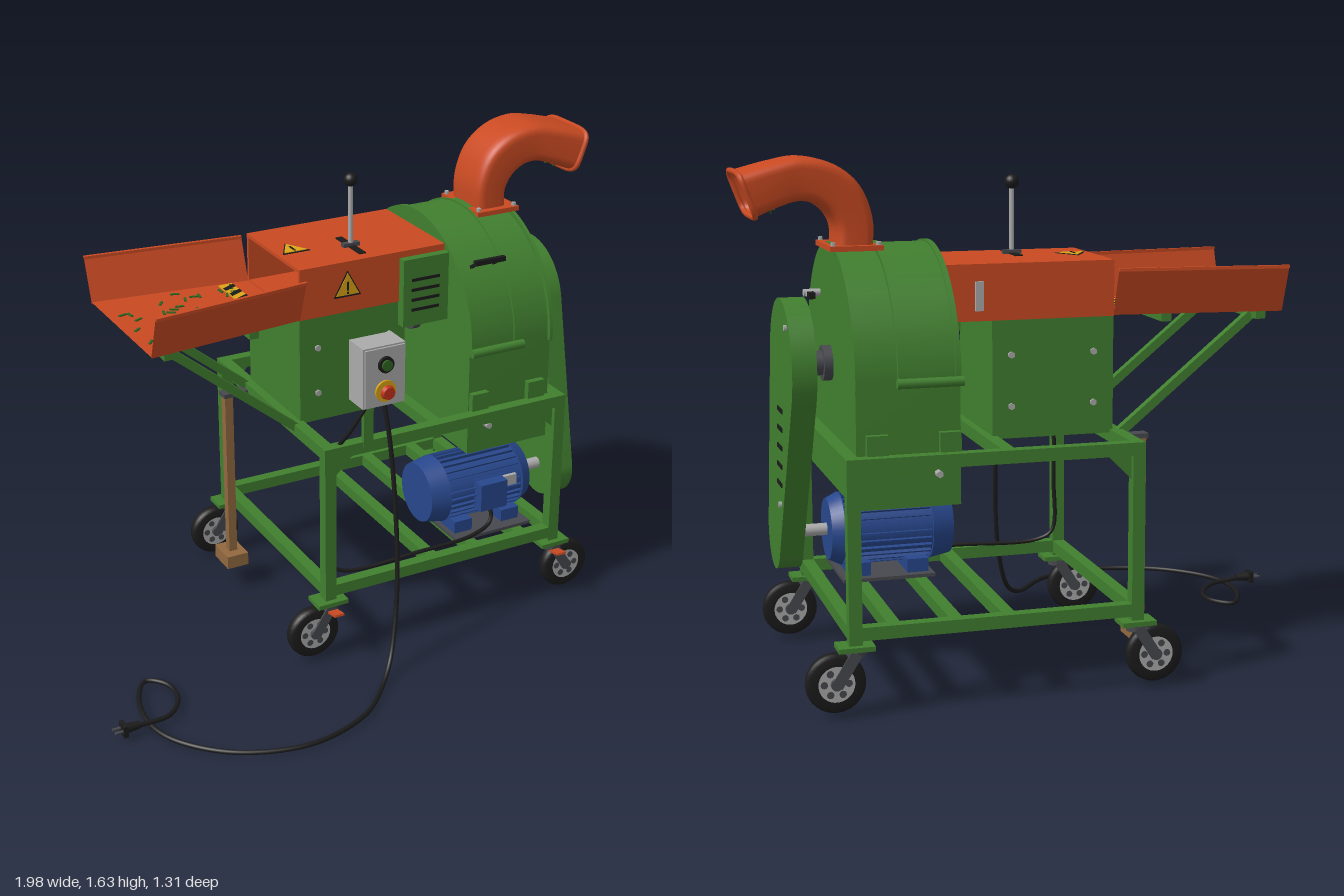
import * as THREE from 'three';
import { toCreasedNormals } from 'three/addons/utils/BufferGeometryUtils.js';

const paint = (name, color, side = THREE.FrontSide) => {
  const m = new THREE.MeshStandardMaterial({ color, side });
  m.name = name;
  return m;
};
const V = (x, y, z) => new THREE.Vector3(x, y, z);

export function createModel() {
  const green = paint('green', 0x417f2f), orange = paint('orange', 0xc94a22, THREE.DoubleSide);
  const blue = paint('blue', 0x27478c), black = paint('black', 0x1b1b1c), steel = paint('steel', 0xababab);
  const iron = paint('dark iron', 0x47494e), yellow = paint('yellow', 0xdba516), wood = paint('wood', 0x92693f);
  const red = paint('red', 0xc5301c), leaf = paint('chopped leaf', 0x2f6420);
  const root = new THREE.Group();
  root.name = 'chaffCutter';
  let seed = 7;
  const rand = (a, b) => { seed = (seed * 16807) % 2147483647; return a + (b - a) * seed / 2147483647; };

  const add = (name, geo, mat, x = 0, y = 0, z = 0, parent = root) => {
    const m = new THREE.Mesh(geo, mat);
    m.name = name;
    m.position.set(x, y, z);
    parent.add(m);
    return m;
  };
  // box given by its limits on each axis
  const box = (name, mat, x0, x1, y0, y1, z0, z1) => add(name, new THREE.BoxGeometry(x1 - x0, y1 - y0, z1 - z0), mat,
    (x0 + x1) / 2, (y0 + y1) / 2, (z0 + z1) / 2);
  const cyl = (name, mat, axis, r, len, x, y, z, r2 = r, n = 24) => {
    const g = new THREE.CylinderGeometry(r2, r, len, n);
    if (axis === 'x') g.rotateZ(-Math.PI / 2);
    if (axis === 'z') g.rotateX(Math.PI / 2);
    return add(name, g, mat, x, y, z);
  };
  const bar = (name, mat, a, b, w, h = w) => {
    const m = add(name, new THREE.BoxGeometry(w, h, a.distanceTo(b)), mat);
    m.position.copy(a).add(b).multiplyScalar(0.5);
    m.lookAt(b);
    return m;
  };
  // side profile drawn in (-z, y), extruded from x0 to x1
  const profile = (name, mat, shape, x0, x1) => {
    const g = new THREE.ExtrudeGeometry(shape, { depth: x1 - x0, bevelEnabled: false, curveSegments: 32 });
    return add(name, toCreasedNormals(g.rotateY(Math.PI / 2), 0.5), mat, x0);
  };
  const quad = (name, mat, a, b, c, d) => {
    const g = new THREE.BufferGeometry().setFromPoints([a, b, c, a, c, d]);
    g.computeVertexNormals();
    return add(name, g, mat);
  };
  const tube = (name, mat, pts, r, closed = false, n = 100) =>
    add(name, new THREE.TubeGeometry(new THREE.CatmullRomCurve3(pts, closed), n, r, 8, closed), mat);

  // Frame: legs, rails, gussets
  const Z = [0.19, -0.61], X = [-0.16, 0.72];
  for (const z of Z) {
    for (const x of X) {
      box('frameLeg', green, x - 0.02, x + 0.02, 0.22, 0.78, z - 0.02, z + 0.02);
      const s = x < 0 ? 1 : -1;
      const tri = new THREE.Shape([[0, 0], [0.075 * s, 0], [0, -0.075]].map(p => new THREE.Vector2(...p)));
      add('gusset', new THREE.ExtrudeGeometry(tri, { depth: 0.008, bevelEnabled: false }), green, x + 0.02 * s, 0.74, z - 0.004);
    }
    for (const y of [0.255, 0.76]) box('longRail', green, -0.16, 0.72, y - 0.02, y + 0.02, z - 0.02, z + 0.02);
  }
  for (const y of [0.255, 0.76]) for (const x of [...X, 0.245])
    box('crossRail', green, x - 0.02, x + 0.02, y - 0.02, y + 0.02, -0.61, 0.19);

  // Casters
  for (const z of Z) for (const x of X) {
    const s = x < 0 ? -1 : 1, wx = x + s * 0.06;
    box('casterPlate', green, x - 0.055, x + 0.055, 0.207, 0.222, z - 0.04, z + 0.04);
    cyl('casterSwivel', iron, 'y', 0.03, 0.022, x, 0.197, z);
    const tread = [[0.055, -0.022], [0.08, -0.022], [0.089, -0.014], [0.091, 0], [0.089, 0.014], [0.08, 0.022], [0.055, 0.022]];
    add('tyre', new THREE.LatheGeometry(tread.map(p => new THREE.Vector2(...p)), 36).rotateX(Math.PI / 2), black, wx, 0.11, z);
    cyl('wheelRim', steel, 'z', 0.057, 0.036, wx, 0.11, z);
    cyl('wheelHub', iron, 'z', 0.018, 0.06, wx, 0.11, z);
    for (let i = 0; i < 6; i++) {
      const a = i * Math.PI / 3;
      cyl('rimHole', iron, 'z', 0.011, 0.04, wx + 0.037 * Math.cos(a), 0.11 + 0.037 * Math.sin(a), z, 0.011, 12);
    }
    for (const k of [-1, 1]) bar('casterFork', iron, V(x, 0.2, z + k * 0.028), V(wx, 0.105, z + k * 0.028), 0.006, 0.035);
    if (z > 0) bar('brakePedal', orange, V(x, 0.185, z + 0.03), V(x, 0.195, z + 0.08), 0.035, 0.008);
  }

  // Cutter drum with raised cover band and rims
  const dShape = (r, low) => {
    const s = new THREE.Shape();
    s.moveTo(0.21 - r, low);
    s.lineTo(0.21 + r, low);
    s.lineTo(0.21 + r, 0.99);
    s.absarc(0.21, 0.99, r, 0, Math.PI);
    s.closePath();
    return s;
  };
  profile('drumHousing', green, dShape(0.368, 0.615), 0.385, 0.7);
  profile('drumCover', green, dShape(0.376, 0.985), 0.4, 0.56);
  for (const [a, b] of [[0.385, 0.402], [0.55, 0.575], [0.69, 0.702]]) profile('drumRim', green, dShape(0.382, 0.975), a, b);
  for (const z of [0.165, -0.585]) for (const x of [0.42, 0.64]) {
    box('drumFoot', green, x - 0.032, x + 0.032, 0.775, 0.84, z - 0.015, z + 0.015);
    cyl('drumBolt', steel, 'z', 0.011, 0.79, x + 0.035, 0.715, -0.21, 0.011, 6);
  }
  for (const z of [0.178, -0.598]) cyl('hingePin', green, 'x', 0.015, 0.2, 0.48, 0.99, z, 0.015, 12);
  for (const x of [0.435, 0.52]) bar('handlePost', black, V(x, 1.25, 0.07), V(x, 1.28, 0.115), 0.01);
  box('handleGrip', black, 0.42, 0.535, 1.272, 1.288, 0.107, 0.123);
  cyl('latchPin', steel, 'x', 0.012, 0.06, 0.725, 1.2, -0.06);
  box('latchArm', steel, 0.735, 0.75, 1.192, 1.208, -0.14, -0.03);
  box('latchGrip', black, 0.733, 0.752, 1.19, 1.21, -0.15, -0.11);

  // Main shaft and bearings
  cyl('mainShaft', steel, 'x', 0.022, 0.5, 0.55, 1, -0.21);
  for (const [x, s] of [[0.372, -1], [0.715, 1]]) {
    cyl('bearingFlange', iron, 'x', 0.055, 0.028, x, 1, -0.21);
    cyl('bearingCap', iron, 'x', 0.038, 0.03, x + s * 0.028, 1, -0.21);
  }

  // Belt guard: hull of two pulleys
  const r1 = 0.205, r2 = 0.115, phi = Math.atan2(-0.58, -0.21), al = Math.acos((r1 - r2) / Math.hypot(0.58, 0.21));
  const guard = new THREE.Shape();
  guard.absarc(0.21, 1, r1, phi + al, phi - al + 2 * Math.PI);
  guard.absarc(0, 0.42, r2, phi - al, phi + al);
  profile('beltGuard', green, guard, 0.78, 0.855);
  for (let i = 0; i < 5; i++) {
    const z = -0.18 + i * 0.009, y = 0.855 - i * 0.06;
    box('guardSlot', black, 0.853, 0.858, y - 0.007, y + 0.007, z - 0.042, z + 0.042);
  }
  for (const [y, z] of [[1.13, -0.33], [0.55, -0.16]]) cyl('guardBolt', steel, 'x', 0.01, 0.012, 0.858, y, z, 0.01, 6);

  // Motor
  cyl('motorBody', blue, 'x', 0.108, 0.31, 0.5, 0.42, 0, 0.108, 36);
  for (let i = 0; i < 28; i++) {
    const f = add('coolingFin', new THREE.BoxGeometry(0.28, 0.014, 0.006), blue);
    const a = i * Math.PI / 14;
    f.position.set(0.5, 0.42 + 0.112 * Math.cos(a), 0.112 * Math.sin(a));
    f.rotation.x = a;
  }
  cyl('fanCowl', blue, 'x', 0.105, 0.07, 0.32, 0.42, 0, 0.119, 36);
  cyl('motorEndBell', blue, 'x', 0.119, 0.04, 0.665, 0.42, 0, 0.1, 36);
  cyl('motorShaft', steel, 'x', 0.02, 0.12, 0.73, 0.42, 0);
  box('terminalBox', blue, 0.455, 0.56, 0.37, 0.47, 0.08, 0.15);
  box('ratingPlate', steel, 0.565, 0.615, 0.43, 0.468, 0.108, 0.122);
  add('liftingEye', new THREE.TorusGeometry(0.018, 0.005, 8, 20), blue, 0.505, 0.568, 0);
  for (const x of [0.41, 0.6]) box('motorFoot', blue, x - 0.035, x + 0.035, 0.285, 0.33, -0.12, 0.11);
  box('motorBasePlate', iron, 0.36, 0.66, 0.275, 0.286, -0.15, 0.15);
  for (const x of [0.41, 0.6]) box('motorRail', green, x - 0.02, x + 0.02, 0.235, 0.275, -0.6, 0.18);

  // Feed housing and side cover
  box('feedPedestal', green, -0.15, 0.24, 0.77, 1.14, -0.41, -0.025);
  for (const x of [-0.085, 0.18]) for (const y of [0.87, 1.03]) cyl('panelBolt', steel, 'z', 0.011, 0.4, x, y, -0.2175, 0.011, 6);
  box('feedTop', orange, -0.15, 0.39, 1.3, 1.312, -0.415, -0.02);
  box('feedFloor', orange, -0.15, 0.39, 1.138, 1.15, -0.415, -0.02);
  for (const z of [-0.415, -0.032]) box('feedSide', orange, -0.15, 0.39, 1.14, 1.305, z, z + 0.012);
  box('feedBaffle', black, 0.18, 0.19, 1.145, 1.305, -0.405, -0.03);
  box('sideCover', green, 0.215, 0.388, 1.055, 1.29, -0.03, 0.01);
  for (let i = 0; i < 4; i++) box('louvre', black, 0.245, 0.35, 1.107 + i * 0.035, 1.117 + i * 0.035, 0.008, 0.013);
  box('rearLatch', steel, 0.27, 0.295, 1.17, 1.26, -0.425, -0.414);

  // Feed lever
  box('leverSlot', black, 0.088, 0.112, 1.31, 1.316, -0.23, -0.06);
  box('leverPivot', iron, 0.07, 0.13, 1.312, 1.325, -0.155, -0.135);
  cyl('leverRod', steel, 'y', 0.008, 0.22, 0.1, 1.42, -0.145, 0.008, 12);
  add('leverKnob', new THREE.SphereGeometry(0.023, 20, 14), black, 0.1, 1.54, -0.145);

  // Warning triangles
  const sign = (x, y, z, tilt) => {
    const g = new THREE.Group();
    g.name = 'warningSign';
    const tri = s => new THREE.ExtrudeGeometry(new THREE.Shape([[-s, -0.8 * s], [s, -0.8 * s], [0, s]]
      .map(p => new THREE.Vector2(...p))), { depth: 0.002, bevelEnabled: false });
    add('signBorder', tri(0.05), black, 0, 0, 0, g);
    add('signFace', tri(0.042), yellow, 0, 0, 0.002, g);
    add('signMark', new THREE.BoxGeometry(0.007, 0.03, 0.002), black, 0, -0.003, 0.0045, g);
    add('signDot', new THREE.BoxGeometry(0.007, 0.007, 0.002), black, 0, -0.026, 0.0045, g);
    g.position.set(x, y, z);
    g.rotation.x = tilt;
    root.add(g);
  };
  sign(0.022, 1.232, -0.02, 0);
  sign(-0.085, 1.312, -0.21, -Math.PI / 2);

  // Flared feed tray, its hazard strip and supports
  const tp = (x, y, k) => V(x, y, -0.215 + k * ((x < -0.4 ? 0.255 : 0.195) + (y > 1.2 ? 0.05 : 0)));
  quad('trayFloor', orange, tp(-0.69, 1.145, 1), tp(-0.15, 1.145, 1), tp(-0.15, 1.145, -1), tp(-0.69, 1.145, -1));
  for (const k of [1, -1]) {
    quad('trayWall', orange, tp(-0.69, 1.14, k), tp(-0.15, 1.14, k), tp(-0.15, 1.285, k), tp(-0.69, 1.285, k));
    bar('trayLip', orange, tp(-0.69, 1.285, k), tp(-0.15, 1.285, k), 0.012, 0.01);
    bar('trayStrut', green, V(-0.61, 1.125, -0.215 + k * 0.19), V(-0.17, 0.765, -0.215 + k * 0.19), 0.028);
  }
  for (const [x, w] of [[-0.625, 0.24], [-0.32, 0.21]]) box('trayCrossbar', green, x - 0.016, x + 0.016, 1.115, 1.143, -0.215 - w, -0.215 + w);
  box('hazardStrip', yellow, -0.265, -0.217, 1.146, 1.151, -0.4, -0.025);
  for (let i = 0; i < 7; i++) {
    const z = -0.39 + i * 0.052;
    quad('hazardStripe', black, V(-0.265, 1.1525, z + 0.05), V(-0.217, 1.1525, z + 0.025), V(-0.217, 1.1525, z), V(-0.265, 1.1525, z + 0.025));
  }
  for (let i = 0; i < 42; i++) {
    const b = add('choppedLeaf', new THREE.BoxGeometry(0.03, 0.004, 0.008), leaf, rand(-0.65, -0.19), 1.15, rand(-0.4, -0.03));
    b.rotation.y = rand(0, Math.PI);
  }

  // Discharge chute lofted between inner and outer curves (third value is half width)
  const inner = new THREE.CatmullRomCurve3([[0.69, 1.35, 0.095], [0.69, 1.42, 0.095], [0.715, 1.465, 0.097], [0.76, 1.495, 0.1],
    [0.805, 1.5, 0.105], [0.86, 1.485, 0.115], [0.935, 1.455, 0.128]].map(p => V(...p)));
  const outer = new THREE.CatmullRomCurve3([[0.575, 1.35, 0], [0.575, 1.45, 0], [0.615, 1.55, 0], [0.69, 1.61, 0],
    [0.79, 1.633, 0], [0.87, 1.62, 0], [0.985, 1.59, 0]].map(p => V(...p)));
  const N = 36, M = 24, pos = [], idx = [], mouth = [];
  const pw = v => Math.sign(v) * Math.abs(v) ** 0.4;
  for (let i = 0; i <= M; i++) {
    const a = inner.getPoint(i / M), b = outer.getPoint(i / M);
    for (let j = 0; j < N; j++) {
      const t = j / N * 2 * Math.PI, k = (pw(Math.sin(t)) + 1) / 2;
      const p = V(a.x + (b.x - a.x) * k, a.y + (b.y - a.y) * k, -0.21 + a.z * pw(Math.cos(t)));
      pos.push(p.x, p.y, p.z);
      if (i === M) mouth.push(p);
      const q = i * N + j, r = i * N + (j + 1) % N;
      if (i < M) idx.push(q, q + N, r, r, q + N, r + N);
    }
  }
  const chute = new THREE.BufferGeometry();
  chute.setAttribute('position', new THREE.Float32BufferAttribute(pos, 3));
  chute.setIndex(idx);
  chute.computeVertexNormals();
  add('dischargeChute', chute, orange);
  tube('chuteLip', orange, mouth, 0.009, true, 120);
  box('chuteFlange', orange, 0.555, 0.718, 1.352, 1.368, -0.33, -0.09);
  for (const x of [0.567, 0.706]) for (const z of [-0.315, -0.105]) cyl('flangeBolt', steel, 'y', 0.008, 0.014, x, 1.372, z, 0.008, 6);
  for (let i = 0; i < 60; i++) {
    const k = rand(0.12, 0.85), b = add('chuteLeaf', new THREE.BoxGeometry(0.005, 0.007, 0.028), leaf,
      0.895 + 0.05 * k + rand(-0.04, 0.02), 1.462 + 0.125 * k, rand(-0.31, -0.11));
    b.rotation.set(rand(0, 3), 0, rand(-0.5, 0.5));
  }

  // Switch box on its post
  box('switchPost', green, -0.04, -0.005, 0.76, 1.1, 0.195, 0.212);
  box('switchBox', steel, -0.095, 0.055, 0.945, 1.15, 0.212, 0.305);
  box('switchLid', steel, -0.09, 0.05, 0.95, 1.145, 0.305, 0.312);
  cyl('startBezel', black, 'z', 0.027, 0.012, -0.02, 1.09, 0.316);
  cyl('startButton', leaf, 'z', 0.018, 0.014, -0.02, 1.09, 0.322);
  cyl('stopCollar', yellow, 'z', 0.036, 0.008, -0.02, 1, 0.315);
  cyl('stopStem', iron, 'z', 0.014, 0.02, -0.02, 1, 0.325);
  cyl('stopButton', red, 'z', 0.024, 0.014, -0.02, 1, 0.335, 0.02);

  // Cables and plug
  tube('mainsCable', black, [[0.005, 0.95, 0.255], [0.02, 0.8, 0.275], [0.027, 0.6, 0.3], [0.02, 0.35, 0.335], [0, 0.18, 0.36],
    [-0.04, 0.06, 0.4], [-0.1, 0.016, 0.46], [-0.24, 0.02, 0.59], [-0.46, 0.02, 0.648], [-0.68, 0.02, 0.58], [-0.82, 0.02, 0.44],
    [-0.86, 0.02, 0.32], [-0.84, 0.02, 0.17], [-0.78, 0.02, 0.08], [-0.725, 0.02, 0.13], [-0.725, 0.02, 0.22],
    [-0.79, 0.026, 0.305], [-0.9, 0.035, 0.325]].map(p => V(...p)), 0.008, false, 160);
  tube('motorCable', black, [[-0.04, 0.95, 0.255], [-0.09, 0.84, 0.22], [-0.13, 0.72, 0.16], [-0.135, 0.5, 0.15], [-0.13, 0.32, 0.15],
    [-0.08, 0.288, 0.16], [0.2, 0.288, 0.165], [0.42, 0.295, 0.16], [0.5, 0.32, 0.14], [0.51, 0.38, 0.12]].map(p => V(...p)), 0.007);
  cyl('plugBody', black, 'x', 0.017, 0.055, -0.925, 0.038, 0.325, 0.012, 12);
  box('plugFace', black, -0.96, -0.945, 0.018, 0.058, 0.303, 0.347);
  for (const z of [0.314, 0.336]) cyl('plugPin', iron, 'x', 0.005, 0.035, -0.97, 0.038, z, 0.005, 8);

  // Wooden push stick
  box('pushStick', wood, -0.265, -0.235, 0.13, 0.755, -0.405, -0.375);
  box('pushBlock', wood, -0.29, -0.21, 0.095, 0.142, -0.445, -0.337);
  box('stickClip', iron, -0.27, -0.175, 0.745, 0.76, -0.412, -0.368);
  return root;
}
